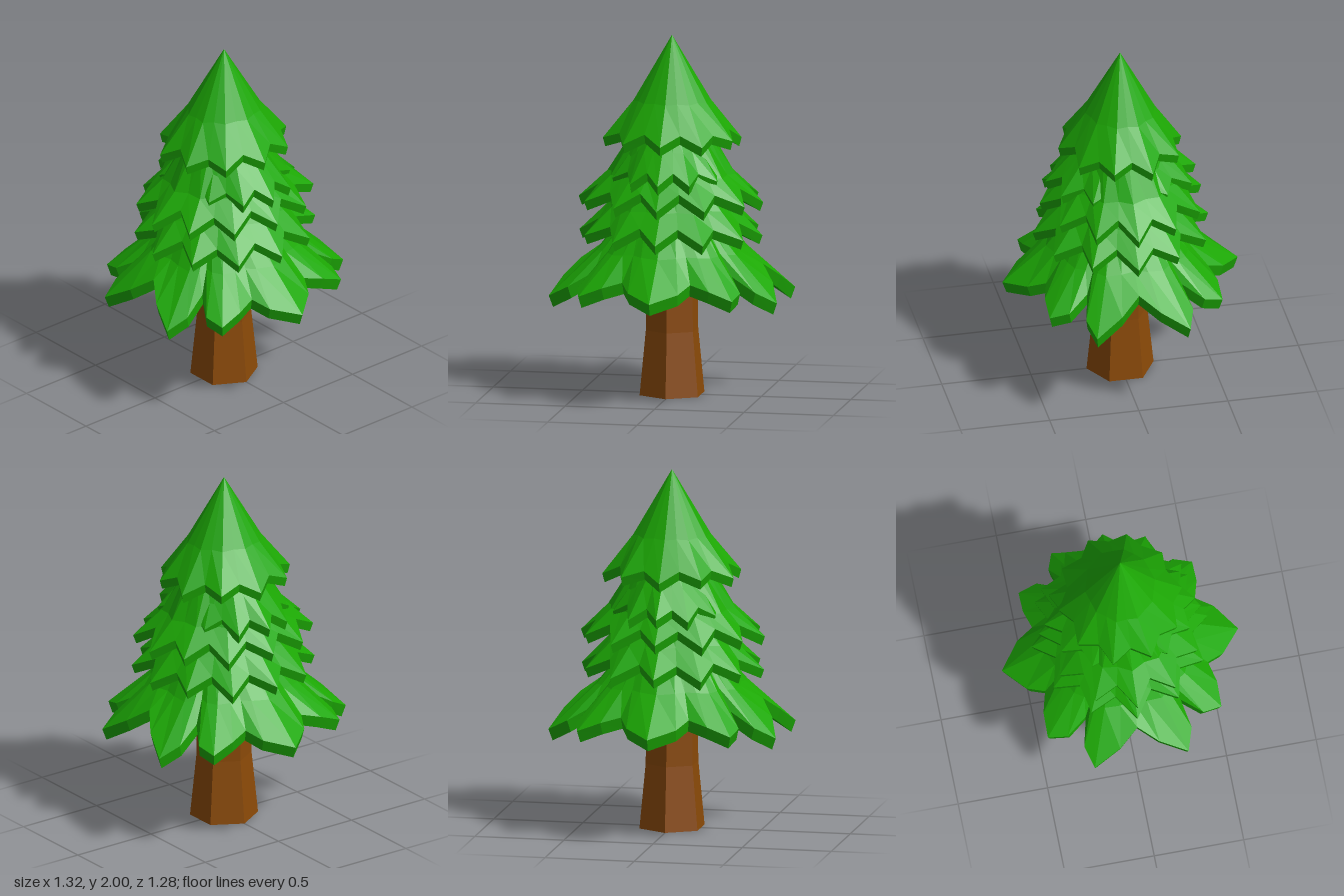
import * as THREE from 'three';

const green = new THREE.MeshStandardMaterial({ color: 0x1ca804 });
green.name = 'needle green';
green.flatShading = true;
const brown = new THREE.MeshStandardMaterial({ color: 0x8b4a08 });
brown.name = 'bark brown';
brown.flatShading = true;

// Skin closed rings of points (listed from top to bottom) into a faceted surface
function skin(rings, material, name) {
  const pos = [];
  const tri = (a, b, c) => pos.push(...a, ...b, ...c);
  for (let j = 0; j < rings.length - 1; j++) {
    const up = rings[j], low = rings[j + 1], n = up.length;
    for (let i = 0; i < n; i++) {
      const k = (i + 1) % n;
      if (Math.hypot(up[i][0], up[i][2]) > 1e-6) tri(up[i], up[k], low[i]);
      if (Math.hypot(low[i][0], low[i][2]) > 1e-6) tri(up[k], low[k], low[i]);
    }
  }
  const geo = new THREE.BufferGeometry();
  geo.setAttribute('position', new THREE.Float32BufferAttribute(pos, 3));
  geo.computeVertexNormals();
  const mesh = new THREE.Mesh(geo, material);
  mesh.name = name;
  return mesh;
}

// One skirt of foliage: crown ring, folded shoulder, thick jagged rim, underside
function tier(name, rim, { top, mid, fold, drop, inset, under, sx = 1, sz = 1 }) {
  const mean = rim.reduce((s, p) => s + Math.hypot(p[0] / sx, p[2] / sz), 0) / rim.length;
  const ringAt = (r, y, f) => rim.map(([x, , z]) => {
    const len = Math.hypot(x / sx, z / sz);
    const k = (r * (1 + f * (len / mean - 1))) / len;
    return [x * k, y + f * 0.12 * (1 - len / mean), z * k];
  });
  const lower = rim.map(([x, y, z]) => [x * inset, y - drop, z * inset]);
  return skin([
    ringAt(top[0], top[1], 0),
    ringAt(mid[0], mid[1], fold),
    rim,
    lower,
    ringAt(under[0], under[1], 0),
  ], green, name);
}

// Regular zigzag rim with n points, slightly uneven
function zigzag(n, rTip, rNotch, yTip, yNotch, sx, sz) {
  return Array.from({ length: n * 2 }, (_, i) => {
    const a = (i * Math.PI) / n, tip = i % 2 === 0;
    const r = (tip ? rTip : rNotch) * (1 + 0.015 * Math.sin(i * 2.3));
    const y = (tip ? yTip : yNotch) + 0.008 * Math.sin(i * 1.7);
    return [r * Math.cos(a) * sx, y, r * Math.sin(a) * sz];
  });
}

// Lowest skirt: one quadrant of its big leafy rim, mirrored around
function wideRim() {
  const q = [
    [0.66, 0.61, 0], [0.55, 0.65, 0.14], [0.455, 0.69, 0.19], [0.485, 0.66, 0.3],
    [0.485, 0.61, 0.43], [0.38, 0.64, 0.455], [0.265, 0.71, 0.385], [0.3, 0.63, 0.525],
    [0.262, 0.57, 0.638], [0.11, 0.66, 0.585], [0, 0.74, 0.51],
  ];
  const half = [...q, ...q.slice(0, -1).reverse().map(([x, y, z]) => [-x, y, z])];
  return [...half, ...half.slice(1, -1).reverse().map(([x, y, z]) => [x, y, -z])];
}

export function createModel() {
  const tree = new THREE.Group();
  tree.name = 'pineTree';

  // Six-sided trunk, flared at the foot
  const trunkRing = (r, y) => Array.from({ length: 6 }, (_, i) => {
    const a = (i * Math.PI) / 3;
    return [r * Math.cos(a), y, r * Math.sin(a)];
  });
  tree.add(skin([
    trunkRing(0, 0.96), trunkRing(0.144, 0.96), trunkRing(0.152, 0.36),
    trunkRing(0.188, 0), trunkRing(0, 0),
  ], brown, 'trunk'));

  // Foliage from the ground up
  tree.add(tier('lowestFoliage', wideRim(), {
    top: [0.26, 1.0], mid: [0.4, 0.82], fold: 0.3, drop: 0.065, inset: 0.965, under: [0.1, 0.9],
  }));
  const tiers = [
    { name: 'lowerFoliage', rim: [12, 0.505, 0.405, 0.905, 0.975], sx: 0.97, sz: 1.01,
      top: [0.22, 1.22], mid: [0.34, 1.06], under: [0.1, 1.02] },
    { name: 'middleFoliage', rim: [12, 0.49, 0.395, 1.09, 1.165], sx: 0.92, sz: 1.05,
      top: [0.2, 1.47], mid: [0.33, 1.24], under: [0.1, 1.22] },
    { name: 'upperFoliage', rim: [12, 0.42, 0.35, 1.225, 1.28], sx: 1, sz: 0.8,
      top: [0.17, 1.5], mid: [0.27, 1.385], under: [0.1, 1.34] },
    { name: 'topFoliage', rim: [10, 0.365, 0.305, 1.43, 1.48], sx: 0.95, sz: 1.05,
      top: [0, 2], mid: [0.2, 1.64], under: [0.1, 1.53] },
  ];
  for (const t of tiers) {
    tree.add(tier(t.name, zigzag(...t.rim, t.sx, t.sz), {
      ...t, fold: 0.3, drop: 0.05, inset: 0.965,
    }));
  }
  return tree;
}
